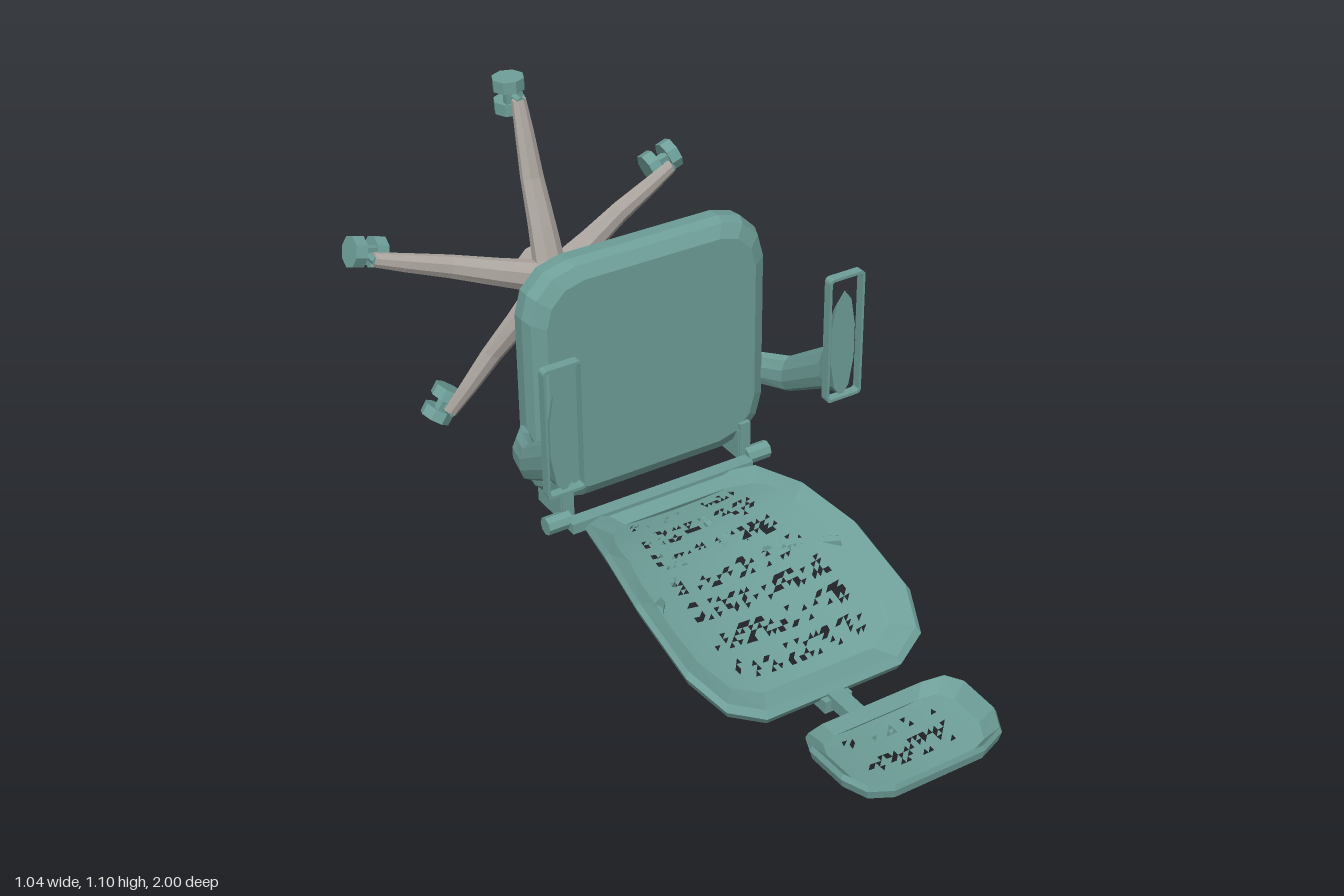
import * as THREE from 'three';

const mat = (color, side = THREE.FrontSide) => new THREE.MeshStandardMaterial({ color, side, flatShading: true });
const teal = mat(0x6f9f99);
const tealThin = mat(0x6f9f99, THREE.DoubleSide);
const grey = mat(0xaea7a1);
const V = (x, y, z) => new THREE.Vector3(x, y, z);

function add(parent, name, geometry, material, x = 0, y = 0, z = 0) {
  const mesh = new THREE.Mesh(geometry, material);
  mesh.name = name;
  mesh.position.set(x, y, z);
  parent.add(mesh);
  return mesh;
}
const box = (w, h, d) => new THREE.BoxGeometry(w, h, d);

function fromTriangles(points, index) {
  const g = new THREE.BufferGeometry().setFromPoints(points);
  g.setIndex(index);
  g.computeVertexNormals();
  return g;
}

// Skin a series of equal rings; closed joins the last ring to the first, otherwise the ends are capped
function loft(rings, closed = false) {
  const n = rings[0].length, m = rings.length, index = [];
  for (let r = 0; r < (closed ? m : m - 1); r++) {
    for (let i = 0; i < n; i++) {
      const j = (i + 1) % n, s = (r + 1) % m;
      const a = r * n + i, b = r * n + j, c = s * n + i, d = s * n + j;
      index.push(a, c, b, b, c, d);
    }
  }
  if (!closed) {
    const e = (m - 1) * n;
    for (let i = 1; i < n - 1; i++) index.push(0, i, i + 1, e, e + i + 1, e + i);
  }
  return fromTriangles(rings.flat(), index);
}

// Rounded rectangle ring in the xy plane
function roundedRing(w, h, r, z) {
  const pts = [];
  for (let k = 0; k < 4; k++) {
    const sx = k === 0 || k === 3 ? 1 : -1, sy = k < 2 ? 1 : -1;
    for (let i = 0; i < 4; i++) {
      const a = (k + i / 3) * Math.PI / 2;
      pts.push(V(sx * (w - r) + Math.cos(a) * r, sy * (h - r) + Math.sin(a) * r, z));
    }
  }
  return pts;
}

// Dished cushion: solid rim around a perforated mesh, from a half outline of [x, z] and a height rule
function dishedPanel(name, half, height, rim, drop, rows, cols) {
  const group = new THREE.Group();
  group.name = name;
  const outline = [...half, ...half.map(([x, z]) => [-x, z]).reverse()];
  const z0 = half[0][1], z1 = half[half.length - 1][1], zc = (z0 + z1) / 2;
  const inset = ([x, z], s, dy) => V(x * s, height(x * s, zc + (z - zc) * s) + dy, zc + (z - zc) * s);
  const sections = outline.map(p => [
    inset(p, 0.97, 0), inset(p, 1, -rim * 0.4), inset(p, 0.97, -rim), inset(p, 0.84, -rim * 0.9), inset(p, 0.82, -drop)]);
  add(group, name + 'Rim', loft(sections, true), tealThin);

  const halfWidth = z => {
    for (let i = 0; i < half.length - 1; i++) {
      const [xa, za] = half[i], [xb, zb] = half[i + 1];
      if (z <= zb) return xa + (xb - xa) * (z - za) / (zb - za);
    }
    return half[half.length - 1][0];
  };
  let seed = 7;
  const rand = () => (seed = (seed * 16807) % 2147483647) / 2147483647;
  const pts = [], index = [];
  for (let r = 0; r <= rows; r++) {
    const t = r / rows, z = zc + (z0 + (z1 - z0) * t - zc) * 0.86;
    for (let c = 0; c <= cols; c++) {
      const x = (2 * c / cols - 1) * halfWidth(z0 + (z1 - z0) * t) * 0.86;
      pts.push(V(x, height(x, z) - drop, z));
    }
  }
  for (let r = 0; r < rows; r++) {
    for (let c = 0; c < cols; c++) {
      const a = r * (cols + 1) + c, b = a + 1, d = a + cols + 1, e = d + 1;
      const holed = Math.abs(2 * (c + 0.5) / cols - 1) < 0.7 && r > 1 && r < rows - 2 && (r % 6 < 4);
      if (!(holed && rand() < 0.24)) index.push(a, d, b);
      if (!(holed && rand() < 0.24)) index.push(b, d, e);
    }
  }
  add(group, name + 'Mesh', fromTriangles(pts, index), tealThin);
  return group;
}

function makeCaster() {
  const g = new THREE.Group();
  g.name = 'caster';
  for (const s of [-1, 1]) add(g, 'wheel', new THREE.CylinderGeometry(0.045, 0.045, 0.034, 8), teal, 0, s * 0.032, 0);
  add(g, 'axle', new THREE.CylinderGeometry(0.016, 0.016, 0.06, 6), teal);
  add(g, 'hood', box(0.05, 0.06, 0.02), teal, 0, 0, 0.022);
  const stem = add(g, 'stem', new THREE.CylinderGeometry(0.013, 0.013, 0.04, 6), teal, 0, 0, 0.045);
  stem.rotation.x = Math.PI / 2;
  return g;
}

// Five legged base with its column, axis along z
function makeBase() {
  const base = new THREE.Group();
  base.name = 'base';
  const tube = (name, r, z0, z1, material) => {
    const m = add(base, name, new THREE.CylinderGeometry(r, r, z1 - z0, 12), material, 0, 0, (z0 + z1) / 2);
    m.rotation.x = Math.PI / 2;
  };
  tube('piston', 0.022, -0.52, -0.40, teal);
  tube('column', 0.036, -0.77, -0.50, grey);
  tube('hub', 0.07, -0.865, -0.735, grey);
  // [reach, z, half width, half depth] from the tip inwards
  const leg = [[0.49, -0.902, 0.02, 0.014], [0.4, -0.882, 0.026, 0.018], [0.28, -0.858, 0.032, 0.022],
    [0.15, -0.82, 0.038, 0.03], [0.03, -0.79, 0.045, 0.036]];
  const rings = leg.map(([y, z, w, d]) => Array.from({ length: 8 }, (_, i) => {
    const a = (i + 0.5) * Math.PI / 4;
    return V(Math.cos(a) * w * 1.05, y, z - Math.sin(a) * d);
  }));
  for (let k = 0; k < 5; k++) {
    const arm = new THREE.Group();
    arm.name = 'baseLeg';
    arm.rotation.z = 0.03 + k * Math.PI * 2 / 5;
    add(arm, 'spoke', loft(rings), grey);
    const caster = makeCaster();
    caster.position.set(0, 0.486, -0.955);
    arm.add(caster);
    base.add(arm);
  }
  base.position.set(0.005, 0.565, 0);
  return base;
}

function makeArmrest(side) {
  const g = new THREE.Group();
  g.name = side > 0 ? 'leftArmrest' : 'rightArmrest';
  // Open rectangular pad frame
  const frame = new THREE.Shape(roundedRing(0.054, 0.181, 0.012, 0).map(p => new THREE.Vector2(p.x, p.y)));
  frame.holes.push(new THREE.Path(roundedRing(0.047, 0.173, 0.008, 0).map(p => new THREE.Vector2(p.x, p.y)).reverse()));
  add(g, 'padFrame', new THREE.ExtrudeGeometry(frame, { depth: 0.025, bevelEnabled: false }), teal, side * 0.412, 0.64, 0);
  // Arm support: [z, x, y, half width, half height]
  const arm = [[0.012, 0.412, 0.615, 0.038, 0.157], [-0.005, 0.412, 0.60, 0.036, 0.14], [-0.045, 0.408, 0.52, 0.03, 0.065],
    [-0.2, 0.397, 0.425, 0.028, 0.055], [-0.28, 0.37, 0.41, 0.032, 0.05], [-0.335, 0.325, 0.41, 0.03, 0.048]];
  add(g, 'armSupport', loft(arm.map(([z, x, y, w, h]) => Array.from({ length: 10 }, (_, i) => {
    const a = i * Math.PI / 5 + Math.PI / 10;
    return V(side * x + Math.cos(a) * w, y + Math.sin(a) * h, z);
  }))), teal);
  return g;
}

export function createModel() {
  const model = new THREE.Group();
  model.name = 'recliningOfficeChair';

  // Seat cushion with bevelled edges
  const seat = [[0.31, 0.305, 0.11, -0.246], [0.345, 0.338, 0.13, -0.265], [0.355, 0.346, 0.13, -0.295],
    [0.352, 0.343, 0.13, -0.335], [0.315, 0.31, 0.11, -0.362]];
  add(model, 'seat', loft(seat.map(s => roundedRing(...s))), teal, 0.005, 0.558, 0);

  // Tilt mechanism and lever under the seat
  add(model, 'mechanism', box(0.28, 0.32, 0.05), teal, 0.005, 0.54, -0.385);
  add(model, 'mechanismCap', box(0.23, 0.26, 0.012), teal, 0.005, 0.54, -0.412);
  add(model, 'lever', box(0.2, 0.012, 0.008), teal, 0.235, 0.65, -0.395);
  add(model, 'leverPaddle', box(0.06, 0.03, 0.01), teal, 0.36, 0.65, -0.395);

  model.add(makeBase(), makeArmrest(1), makeArmrest(-1));

  // Backrest
  const profile = new THREE.CatmullRomCurve3([V(0, 0.165, -0.22), V(0, 0.187, -0.02), V(0, 0.16, 0.18), V(0, 0.105, 0.38), V(0, 0.04, 0.58)]);
  const spine = profile.getPoints(40);
  const backHeight = (x, z) => {
    const k = Math.max(0, Math.min(39.99, (z + 0.22) / 0.8 * 40)), i = Math.floor(k);
    return spine[i].y + (spine[i + 1].y - spine[i].y) * (k - i) + 0.05 * (x / 0.33) ** 2;
  };
  const backHalf = [[0.19, -0.22], [0.265, -0.17], [0.305, 0], [0.335, 0.2], [0.335, 0.43], [0.29, 0.54], [0.2, 0.58]];
  const back = dishedPanel('backrest', backHalf, backHeight, 0.04, 0.015, 44, 34);
  back.position.x = 0.005;
  model.add(back);

  // Hinge between seat and backrest
  add(model, 'hingeBar', box(0.56, 0.03, 0.04), teal, 0, 0.175, -0.215);
  for (const s of [-1, 1]) {
    add(model, 'hingeUpright', box(0.032, 0.1, 0.03), teal, 0.005 + s * 0.275, 0.24, -0.25);
    add(model, 'hingeBlock', box(0.04, 0.09, 0.12), teal, 0.005 + s * 0.275, 0.225, -0.30);
    const knob = add(model, 'hingeKnob', new THREE.CylinderGeometry(0.025, 0.025, 0.07, 8), teal, 0.005 + s * 0.31, 0.185, -0.235);
    knob.rotation.z = Math.PI / 2;
    // Straps behind the backrest
    const strap = new THREE.CatmullRomCurve3([V(s * 0.28, 0.175, 0.22), V(s * 0.18, 0.13, 0.1), V(s * 0.1, 0.105, 0.01), V(s * 0.08, 0.115, -0.18)]);
    add(model, 'backStrap', new THREE.TubeGeometry(strap, 10, 0.016, 6), teal);
  }
  add(model, 'strapCrossbar', box(0.2, 0.02, 0.03), teal, 0, 0.105, 0.0);
  add(model, 'strapMount', box(0.18, 0.06, 0.04), teal, 0, 0.14, -0.18);

  // Neck and headrest
  add(model, 'neck', box(0.045, 0.035, 0.22), teal, 0.005, 0.0285, 0.65);
  add(model, 'neckFoot', box(0.08, 0.035, 0.05), teal, 0.005, 0.0175, 0.57);
  add(model, 'neckJoint', box(0.09, 0.055, 0.05), teal, 0.005, 0.0375, 0.75);
  const headHalf = [[0.15, 0.73], [0.205, 0.75], [0.228, 0.8], [0.225, 0.92], [0.195, 0.98], [0.13, 1.0]];
  model.add(dishedPanel('headrest', headHalf, x => 0.103 + 0.028 * (x / 0.22) ** 2, 0.038, 0.028, 14, 24));

  return model;
}
